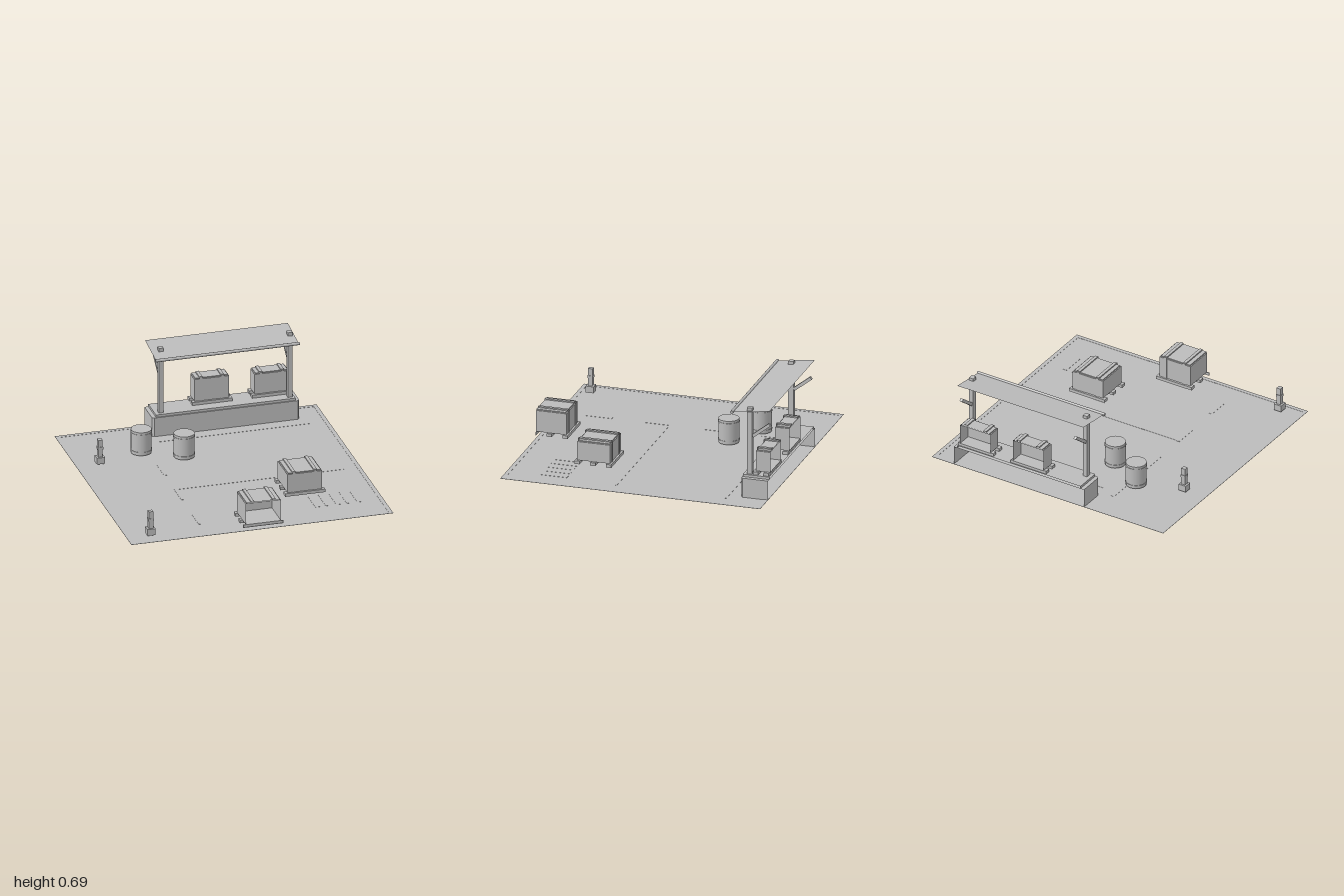
import * as THREE from 'three';

export function createModel() {
  const root = new THREE.Group();
  const grey = new THREE.MeshStandardMaterial({ color: 0xbcbcbc, side: THREE.DoubleSide });
  grey.name = 'plain grey';

  const add = (name, geo, parent = root) => {
    const mesh = new THREE.Mesh(geo, grey);
    mesh.name = name;
    parent.add(mesh);
    return mesh;
  };
  const group = (name) => {
    const g = new THREE.Group();
    g.name = name;
    root.add(g);
    return g;
  };
  // Box from its extents, cut off at z = -1 and z = 1 and left open where it is cut
  const box = (name, x0, x1, y0, y1, z0, z1, parent = root) => {
    const a = Math.max(z0, -1), b = Math.min(z1, 1);
    const geo = new THREE.BoxGeometry(x1 - x0, y1 - y0, b - a);
    geo.translate((x0 + x1) / 2, (y0 + y1) / 2, (a + b) / 2);
    const faces = Array.from(geo.index.array);
    if (z0 < -1) faces.splice(30, 6);
    if (z1 > 1) faces.splice(24, 6);
    geo.setIndex(faces);
    geo.clearGroups();
    return add(name, geo, parent);
  };

  // Yard floor with border strips and painted markings
  const floor = new THREE.PlaneGeometry(2, 2);
  floor.rotateX(-Math.PI / 2);
  add('floor', floor);
  const marks = group('floorMarkings');
  const mark = (name, x0, x1, z0, z1) => box(name, x0, x1, 0.0005, 0.002, z0, z1, marks);
  for (const s of [-1, 1]) {
    mark('borderX', Math.min(s, s * 0.97), Math.max(s, s * 0.97), -1, 1);
    mark('borderZ', -0.97, 0.97, Math.min(s, s * 0.97), Math.max(s, s * 0.97));
  }
  mark('bayLine', -0.4, 0.87, 0.145, 0.155);
  mark('dockLine', -0.3, 0.87, -0.7, -0.69);
  for (let i = 0; i < 4; i++) mark('laneDash', -0.425, -0.395, -0.76 + i * 0.45, -0.56 + i * 0.45);
  for (let i = 0; i < 5; i++) mark('hatchStripe', 0.48 + i * 0.08, 0.515 + i * 0.08, 0.54, 0.74);

  // Loading dock: hollow body with chamfered front corners and a top slab
  const dock = group('dock');
  const outline = [[-0.315, -1], [-0.315, -0.805], [-0.3, -0.79], [0.795, -0.79], [0.81, -0.805], [0.81, -1]];
  const wall = [];
  for (let i = 0; i < outline.length - 1; i++) {
    const [ax, az] = outline[i], [bx, bz] = outline[i + 1];
    wall.push(ax, 0, az, bx, 0, bz, bx, 0.15, bz, ax, 0, az, bx, 0.15, bz, ax, 0.15, az);
  }
  const wallGeo = new THREE.BufferGeometry();
  wallGeo.setAttribute('position', new THREE.Float32BufferAttribute(wall, 3));
  wallGeo.computeVertexNormals();
  add('dockWalls', wallGeo, dock);
  const lid = new THREE.ShapeGeometry(new THREE.Shape(outline.map(([x, z]) => new THREE.Vector2(x, -z))));
  lid.rotateX(-Math.PI / 2);
  lid.translate(0, 0.15, 0);
  add('dockTop', lid, dock);
  box('dockSlab', -0.285, 0.78, 0.151, 0.17, -1.1, -0.797, dock);

  // Canopy: posts, rear braces, sloped sheet and front rail
  const canopy = group('canopy');
  for (const x of [-0.238, 0.747]) {
    box('canopyPost', x - 0.018, x + 0.018, 0.17, 0.69, -0.863, -0.823, canopy);
    const brace = new THREE.BoxGeometry(0.024, 0.024, 0.175);
    const m = add('canopyBrace', brace, canopy);
    m.position.set(x, 0.52, -0.93);
    m.rotation.x = Math.atan2(0.11, 0.14);
    m.scale.z = 0.95;
  }
  const sheet = new THREE.PlaneGeometry(1.09, Math.hypot(0.285, 0.038));
  sheet.rotateX(-Math.PI / 2 + Math.atan2(0.038, 0.285));
  sheet.translate(0.235, 0.667, -0.8575);
  add('canopySheet', sheet, canopy);
  const rail = new THREE.CylinderGeometry(0.012, 0.012, 1.1, 10);
  rail.rotateZ(Math.PI / 2);
  rail.translate(0.235, 0.647, -0.711);
  add('canopyRail', rail, canopy);

  // Crates strapped on pallet runners
  const crate = (x, halfW, y0, y1, z0, z1) => {
    const g = group('crate');
    box('crateBody', x - halfW, x + halfW, y0, y1 - 0.008, z0, z1, g);
    box('crateLid', x - halfW + 0.008, x + halfW - 0.008, y1 - 0.008, y1, z0 + 0.008, z1 - 0.008, g);
    for (const s of [-1, 1]) {
      const c = x + s * 0.082;
      const band = (ya, yb, za, zb) => box('crateStrap', c - 0.012, c + 0.012, ya, yb, za, zb, g);
      band(y1, y1 + 0.009, z0 + 0.004, z1 - 0.004);
      if (z0 > -1) band(y0, y1 + 0.005, z0 - 0.005, z0);
      if (z1 < 1) band(y0, y1 + 0.005, z1, z1 + 0.005);
    }
    for (const t of [0.02, 0.5, 0.98]) {
      const zc = z0 + t * (z1 - z0);
      if (zc - 0.02 < -1 && zc + 0.02 < -1) continue;
      if (zc - 0.02 > 1) continue;
      box('palletRunner', x - 0.153, x + 0.153, y0 - 0.024, y0, zc - 0.02, zc + 0.02, g);
    }
  };
  crate(0.458, 0.132, 0.05, 0.203, 0.287, 0.54);
  crate(0.007, 0.134, 0.052, 0.225, 0.768, 1.02);
  crate(0.168, 0.132, 0.198, 0.38, -1.06, -0.89);
  crate(0.625, 0.13, 0.198, 0.363, -1.06, -0.89);

  // Drums with thin hoops
  for (const [x, z] of [[-0.475, -0.535], [-0.195, -0.375]]) {
    const g = group('drum');
    const cyl = (name, r, y0, y1) =>
      add(name, new THREE.CylinderGeometry(r, r, y1 - y0, 24).translate(x, (y0 + y1) / 2, z), g);
    cyl('drumBody', 0.077, 0.015, 0.2);
    cyl('drumHoop', 0.08, 0.03, 0.042);
    cyl('drumHoop', 0.08, 0.17, 0.182);
  }

  // Bollards with a foot and a band
  for (const z of [-0.425, 0.89]) {
    const g = group('bollard');
    const block = (name, h, y0, y1) => box(name, -0.823 - h, -0.823 + h, y0, y1, z - h, z + h, g);
    block('bollardFoot', 0.031, 0.02, 0.07);
    block('bollardShaft', 0.017, 0.07, 0.205);
    block('bollardBand', 0.02, 0.13, 0.15);
  }
  return root;
}
